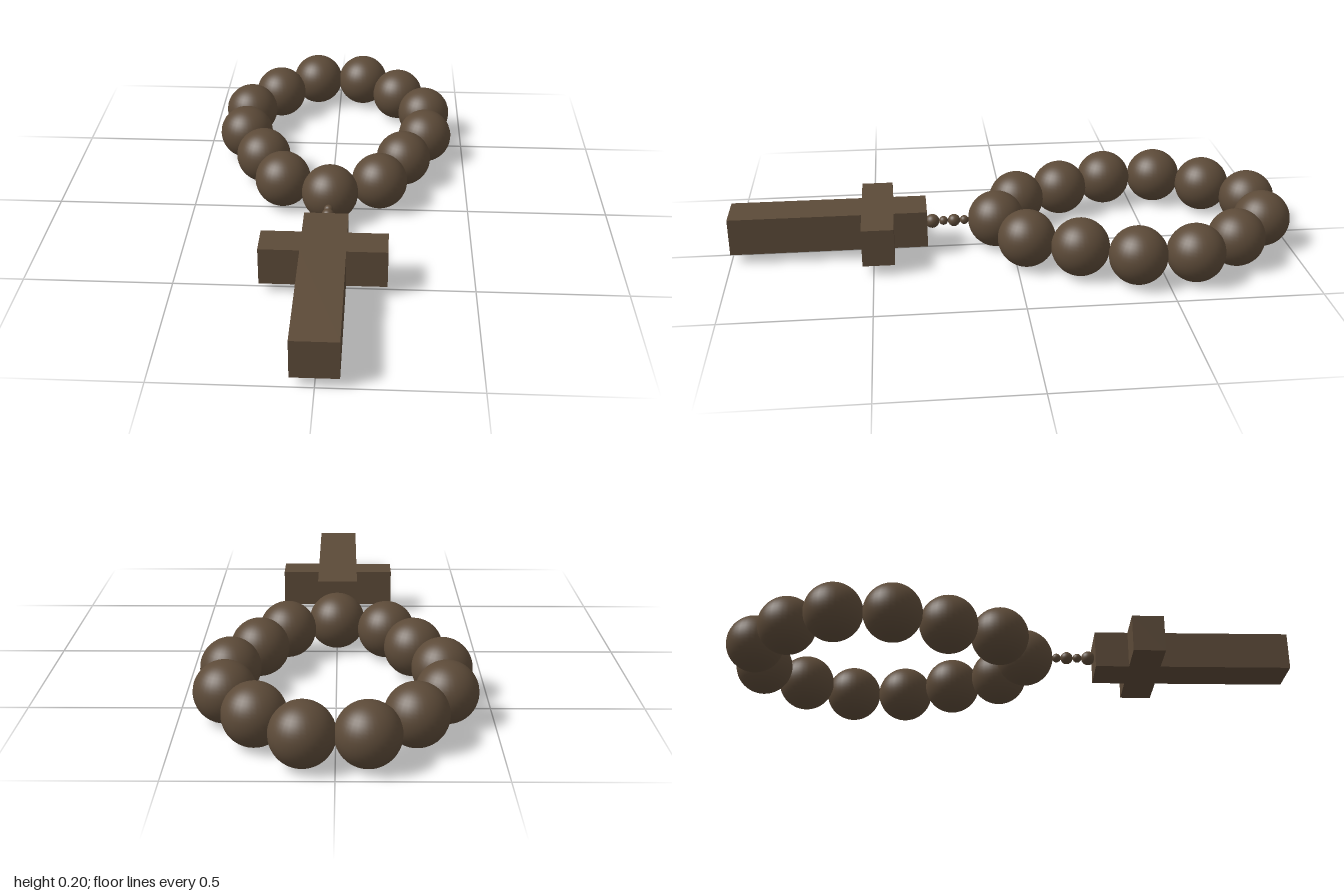
import * as THREE from 'three';

export function createModel() {
  const model = new THREE.Group();
  const wood = new THREE.MeshStandardMaterial({ color: 0x5c4a38 });
  wood.name = 'brown wood';
  const midY = 0.102;

  function addBead(parent, name, radius, x, z) {
    const bead = new THREE.Mesh(new THREE.SphereGeometry(radius, 32, 24), wood);
    bead.name = name;
    bead.position.set(x, midY, z);
    parent.add(bead);
  }

  // Loop of large beads, mirrored left and right, with one bead closing the front
  const loop = new THREE.Group();
  loop.name = 'beadLoop';
  const half = [
    [0.096, -0.899], [0.244, -0.764], [0.348, -0.595],
    [0.348, -0.396], [0.264, -0.211], [0.176, -0.035],
  ];
  for (const [x, z] of half) {
    addBead(loop, 'leftBead', 0.101, x, z);
    addBead(loop, 'rightBead', 0.101, -x, z);
  }
  addBead(loop, 'frontBead', 0.101, 0, 0.057);
  model.add(loop);

  // Short chain of tiny beads of alternating size
  const chain = new THREE.Group();
  chain.name = 'chain';
  for (const [z, r] of [[0.172, 0.016], [0.209, 0.022], [0.247, 0.016], [0.287, 0.025]]) {
    addBead(chain, 'chainBead', r, 0, z);
  }
  model.add(chain);

  // Cross lying flat: outline in x and z, extruded upward
  const right = [
    [0.075, 0.307], [0.075, 0.425], [0.21, 0.425],
    [0.21, 0.537], [0.075, 0.537], [0.075, 1],
  ];
  const left = right.map(([x, z]) => [-x, z]).reverse();
  const outline = [...right, ...left].map(([x, z]) => new THREE.Vector2(x, -z));
  const crossGeometry = new THREE.ExtrudeGeometry(new THREE.Shape(outline), {
    depth: 0.133, bevelEnabled: false,
  });
  crossGeometry.rotateX(-Math.PI / 2);
  const cross = new THREE.Mesh(crossGeometry, wood);
  cross.name = 'cross';
  cross.position.y = 0.037;
  model.add(cross);

  return model;
}
